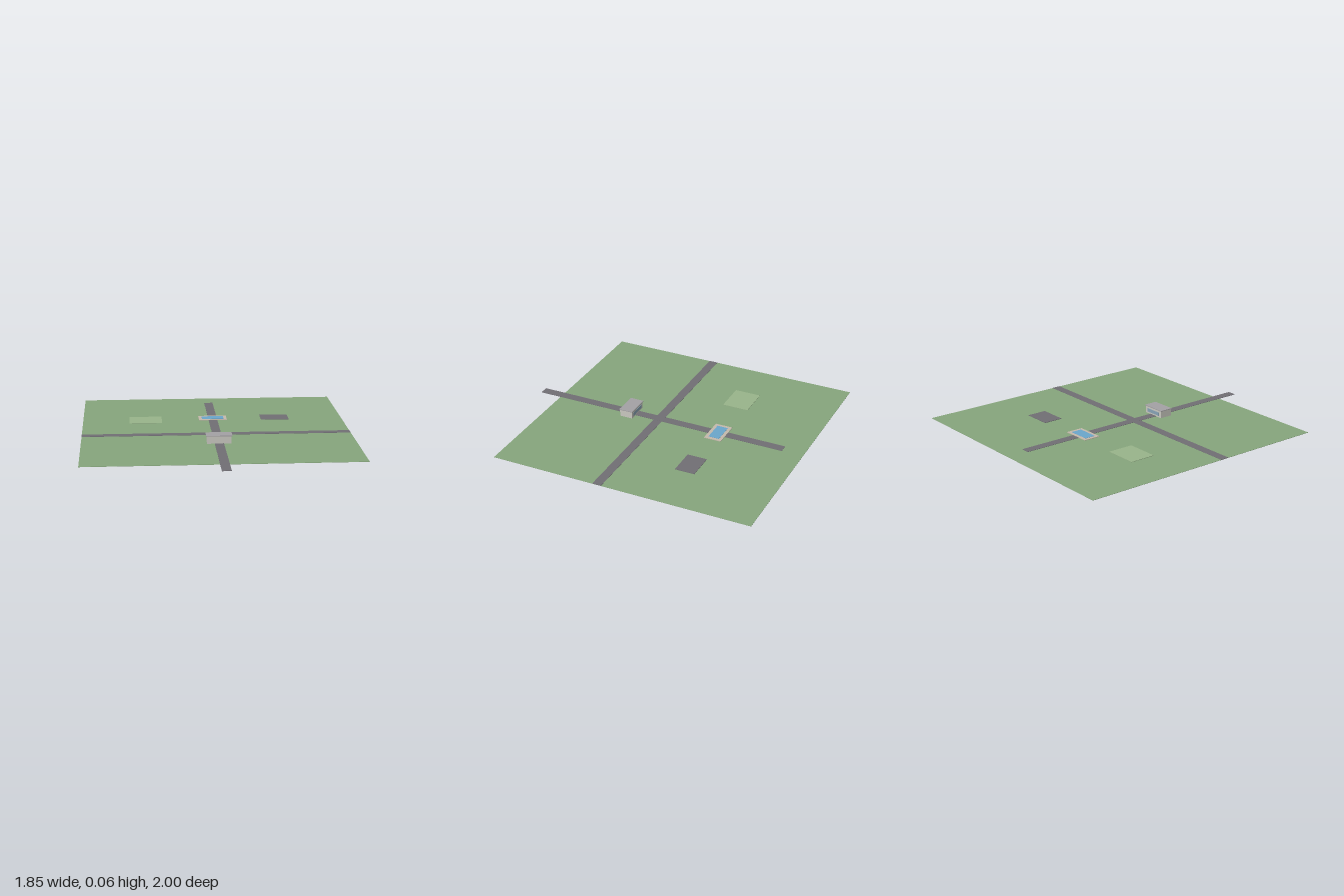
import * as THREE from 'three';

export function createModel() {
  const model = new THREE.Group();

  // Box given by its extents on x, y and z
  function slab(name, color, [x0, x1], [y0, y1], [z0, z1], parent = model) {
    const mesh = new THREE.Mesh(
      new THREE.BoxGeometry(x1 - x0, y1 - y0, z1 - z0),
      new THREE.MeshStandardMaterial({ color })
    );
    mesh.name = name;
    mesh.position.set((x0 + x1) / 2, (y0 + y1) / 2, (z0 + z1) / 2);
    parent.add(mesh);
    return mesh;
  }

  const asphalt = 0x706e74;

  // Ground and the two crossing roads; the long one runs past the front edge
  slab('ground', 0x86a57c, [-0.925, 0.925], [0, 0.002], [-1, 0.845]);
  slab('mainRoad', asphalt, [-0.031, 0.031], [0.001, 0.004], [-0.85, 1]);
  slab('crossRoad', asphalt, [-0.925, 0.925], [0.001, 0.0037], [0.042, 0.104]);

  // Lawn and parking patches
  slab('lawn', 0x98b48a, [-0.597, -0.365], [0.001, 0.005], [-0.435, -0.25]);
  slab('parkingLot', asphalt, [0.345, 0.543], [0.001, 0.005], [-0.442, -0.303]);

  // Pool with its paved surround
  const pool = new THREE.Group();
  pool.name = 'pool';
  model.add(pool);
  slab('poolDeck', 0xc4b9ab, [-0.1, 0.1], [0.001, 0.006], [-0.434, -0.311], pool);
  slab('poolWater', 0x6ba6cb, [-0.077, 0.077], [0.003, 0.0075], [-0.411, -0.334], pool);

  // Small flat-roofed house with a window band facing the pool
  const house = new THREE.Group();
  house.name = 'house';
  model.add(house);
  slab('walls', 0xc9c8c0, [-0.082, 0.082], [0.002, 0.052], [0.246, 0.338], house);
  slab('roof', 0xa3a1a4, [-0.088, 0.088], [0.052, 0.057], [0.243, 0.341], house);
  slab('windowBand', 0x87a3b5, [-0.062, 0.062], [0.014, 0.038], [0.243, 0.247], house);

  return model;
}
